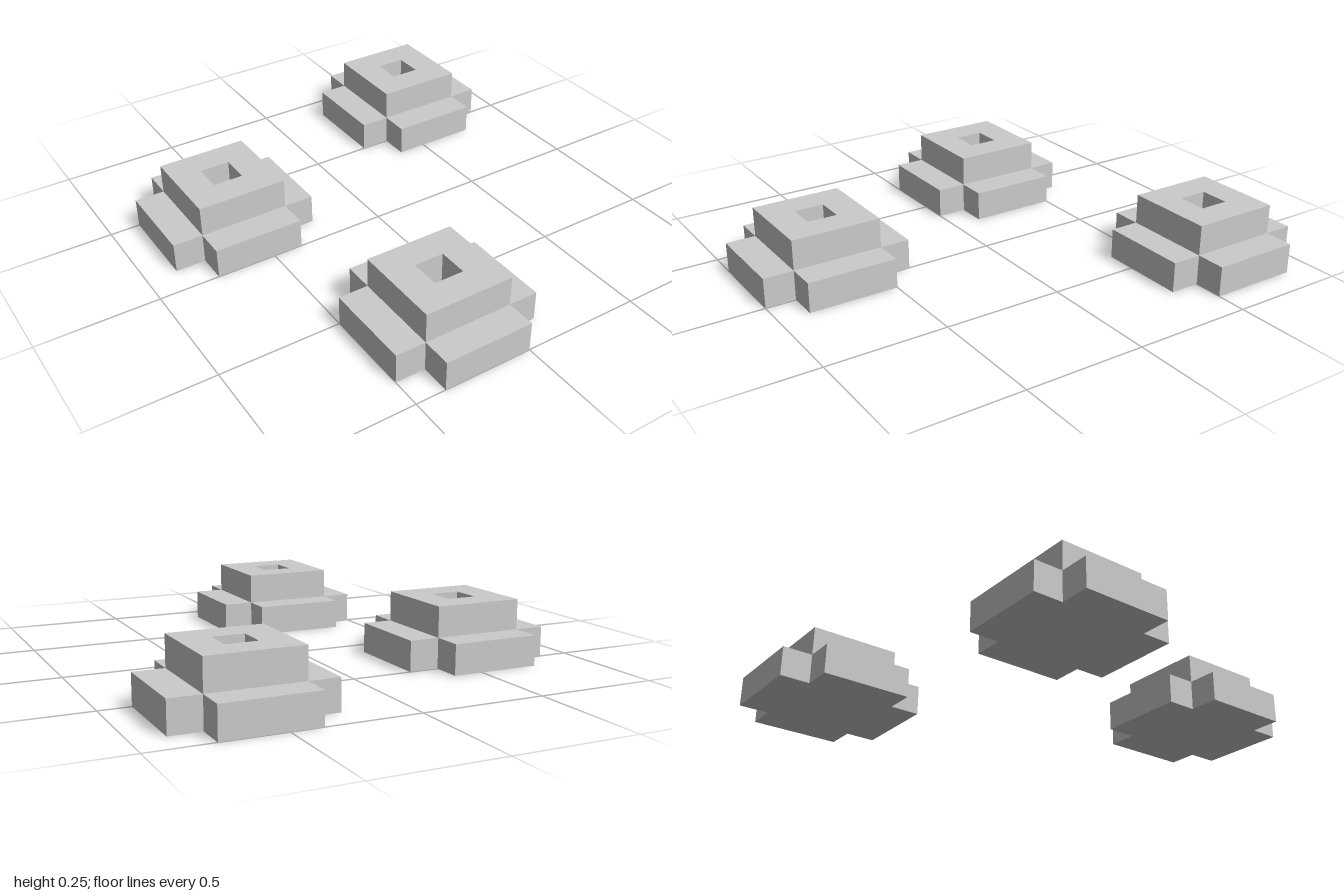
import * as THREE from 'three';

const U = 0.125; // one block unit
const material = new THREE.MeshStandardMaterial({ color: 0xcccccc, flatShading: true });

// Extrudes an outline drawn in plan upwards by one unit
function slab(name, shape, y) {
  const geometry = new THREE.ExtrudeGeometry(shape, { depth: U, bevelEnabled: false });
  geometry.rotateX(-Math.PI / 2);
  const mesh = new THREE.Mesh(geometry, material);
  mesh.name = name;
  mesh.position.y = y;
  return mesh;
}

function squarePoints(half) {
  return [[-1, -1], [1, -1], [1, 1], [-1, 1]].map(([x, y]) => new THREE.Vector2(x * half, y * half));
}

// Cross-shaped outline: one corner notch repeated around the centre
function crossShape(arm, half) {
  const points = [];
  for (let i = 0; i < 4; i++) {
    for (const [x, y] of [[arm, -half], [arm, half], [half, half]]) {
      points.push(new THREE.Vector2(x, y).rotateAround(new THREE.Vector2(), i * Math.PI / 2));
    }
  }
  return new THREE.Shape(points);
}

function createMound(x, z) {
  const mound = new THREE.Group();
  mound.name = 'mound';
  mound.position.set(x, 0, z);

  // Wide cross-shaped base
  mound.add(slab('crossBase', crossShape(2.5 * U, 1.5 * U), 0));

  // Square upper block with a square pit down to the base
  const top = new THREE.Shape(squarePoints(1.5 * U));
  top.holes.push(new THREE.Path(squarePoints(0.5 * U).reverse()));
  mound.add(slab('topBlock', top, U));
  return mound;
}

export function createModel() {
  const model = new THREE.Group();
  model.name = 'mounds';
  for (const [x, z] of [[-4.5, -2.5], [4.5, -5.5], [-1.5, 5.5]]) {
    model.add(createMound(x * U, z * U));
  }
  return model;
}
